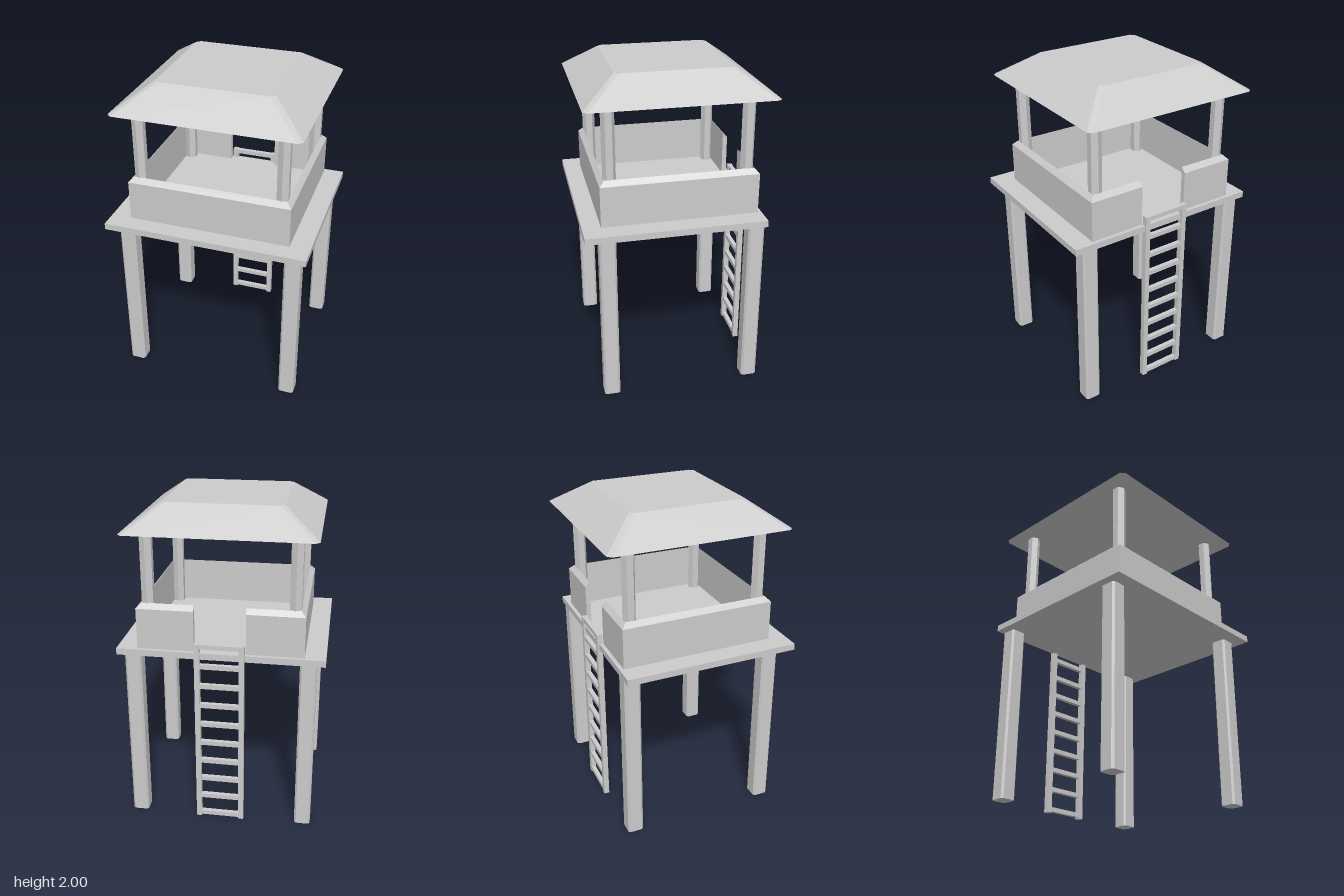
import * as THREE from 'three';
import { ConvexGeometry } from 'three/addons/geometries/ConvexGeometry.js';

const material = new THREE.MeshStandardMaterial({ color: 0xcccccc, flatShading: true });

function addMesh(parent, name, geometry, x = 0, y = 0, z = 0) {
  const mesh = new THREE.Mesh(geometry, material);
  mesh.name = name;
  mesh.position.set(x, y, z);
  parent.add(mesh);
  return mesh;
}

// Square column or frustum with cut corners, standing on y = 0
function cutCornerSolid(bottomHalf, topHalf, height, cut) {
  const points = [];
  for (const [h, y] of [[bottomHalf, 0], [topHalf, height]])
    for (const sx of [-1, 1])
      for (const sz of [-1, 1])
        points.push(
          new THREE.Vector3(sx * h, y, sz * (h - cut)),
          new THREE.Vector3(sx * (h - cut), y, sz * h));
  return new ConvexGeometry(points);
}

// Mitred wall swept around the deck, open at the back for the ladder
function parapetGeometry() {
  const gap = 0.155, halfX = 0.5, back = -0.486, front = 0.465;
  const profile = [[0, 0], [0, 0.25], [0.03, 0.28], [0.03, 0]]; // inset, height
  const ring = (x, z, end) => profile.map(([d, y]) => [
    end ? x : x - Math.sign(x) * d, y, z - Math.sign(z) * d]);
  const rings = [
    ring(-gap, back, true), ring(-halfX, back), ring(-halfX, front),
    ring(halfX, front), ring(halfX, back), ring(gap, back, true)];
  const positions = [];
  const quad = (a, b, c, d) => positions.push(...a, ...b, ...c, ...a, ...c, ...d);
  for (let i = 0; i < rings.length - 1; i++)
    for (let k = 0; k < 4; k++) {
      const n = (k + 1) % 4;
      quad(rings[i][k], rings[i + 1][k], rings[i + 1][n], rings[i][n]);
    }
  quad(...rings[0]);
  quad(...[...rings[rings.length - 1]].reverse());
  const geometry = new THREE.BufferGeometry();
  geometry.setAttribute('position', new THREE.Float32BufferAttribute(positions, 3));
  geometry.computeVertexNormals();
  return geometry;
}

export function createModel() {
  const tower = new THREE.Group();
  tower.name = 'watchtower';

  // Deck and parapet
  addMesh(tower, 'platform', new THREE.BoxGeometry(1.25, 0.04, 1.086), 0, 1.12, 0.033);
  addMesh(tower, 'parapet', parapetGeometry(), 0, 1.14, 0);

  // Legs below the deck, hexagonal posts above it
  const leg = cutCornerSolid(0.05, 0.05, 1.1, 0.012);
  const post = new THREE.CylinderGeometry(0.04, 0.04, 0.71, 6);
  for (const side of [1, -1]) {
    const label = side > 0 ? 'left' : 'right';
    addMesh(tower, label + 'FrontLeg', leg, side * 0.525, 0, 0.438);
    addMesh(tower, label + 'BackLeg', leg, side * 0.525, 0, -0.46);
    addMesh(tower, label + 'FrontPost', post, side * 0.436, 1.495, 0.4);
    addMesh(tower, label + 'BackPost', post, side * 0.436, 1.495, -0.421);
  }

  // Flat-topped hipped roof
  addMesh(tower, 'roof', cutCornerSolid(0.562, 0.353, 0.15, 0.025), 0, 1.85, -0.014);

  // Ladder up to the opening at the back
  const ladder = new THREE.Group();
  ladder.name = 'ladder';
  ladder.position.z = -0.506;
  tower.add(ladder);
  const rail = new THREE.BoxGeometry(0.032, 1.2, 0.034);
  for (const side of [1, -1])
    addMesh(ladder, side > 0 ? 'leftRail' : 'rightRail', rail, side * 0.134, 0.6, 0);
  const rung = new THREE.BoxGeometry(0.24, 0.028, 0.028);
  for (let i = 0; i < 10; i++)
    addMesh(ladder, 'rung' + (i + 1), rung, 0, 0.023 + i * 0.129, 0);

  return tower;
}
